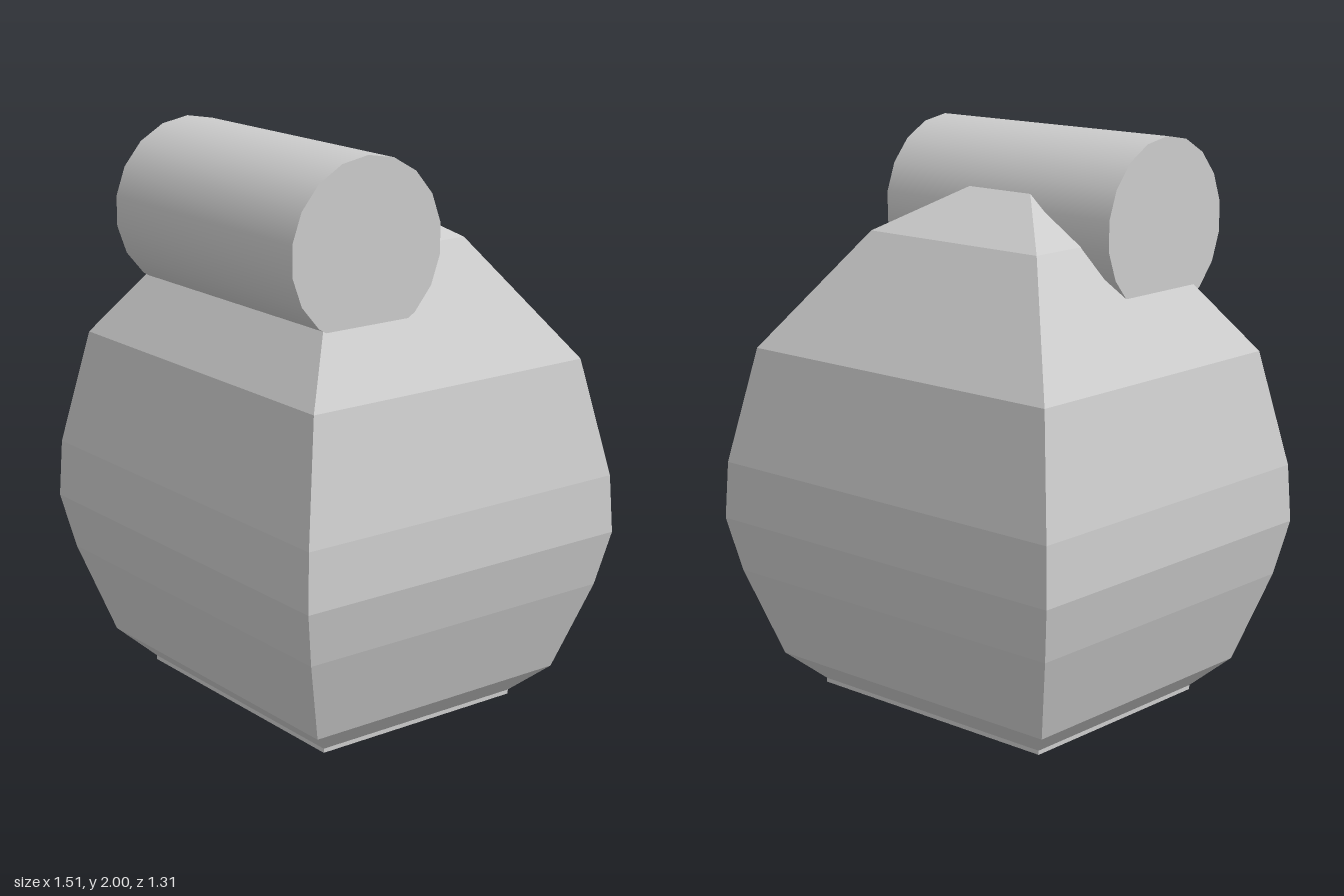
import * as THREE from 'three';

// Body cross-sections from bottom to top: height, half width; depth is 0.1 less per side
const SECTIONS = [
  [0, 0.51], [0.015, 0.51], [0.115, 0.615], [0.43, 0.715], [0.625, 0.755],
  [0.83, 0.745], [1.24, 0.665], [1.65, 0.38], [1.82, 0.11],
];

// Stack rectangular rings and close both ends
function rectangularLoft(sections, inset) {
  const positions = [];
  const indices = [];
  for (const [y, w] of sections) {
    const d = w - inset;
    positions.push(w, y, d, w, y, -d, -w, y, -d, -w, y, d);
  }
  for (let i = 0; i < sections.length - 1; i++) {
    for (let j = 0; j < 4; j++) {
      const a = i * 4 + j;
      const b = i * 4 + (j + 1) % 4;
      indices.push(a, b, b + 4, a, b + 4, a + 4);
    }
  }
  const t = (sections.length - 1) * 4;
  indices.push(0, 2, 1, 0, 3, 2, t, t + 1, t + 2, t, t + 2, t + 3);
  const indexed = new THREE.BufferGeometry();
  indexed.setAttribute('position', new THREE.Float32BufferAttribute(positions, 3));
  indexed.setIndex(indices);
  const geometry = indexed.toNonIndexed();
  geometry.computeVertexNormals();
  return geometry;
}

export function createModel() {
  const group = new THREE.Group();

  // Faceted four-sided body
  const body = new THREE.Mesh(
    rectangularLoft(SECTIONS, 0.1),
    new THREE.MeshStandardMaterial({ color: 0xcccccc, flatShading: true }),
  );
  body.name = 'body';
  group.add(body);

  // Smooth roller lying across the front of the top, sunk into the body
  const rollerGeometry = new THREE.CylinderGeometry(0.303, 0.303, 1.02, 18, 1, false, Math.PI / 2);
  rollerGeometry.rotateZ(Math.PI / 2);
  const roller = new THREE.Mesh(
    rollerGeometry,
    new THREE.MeshStandardMaterial({ color: 0xcccccc }),
  );
  roller.name = 'roller';
  roller.position.set(0.01, 1.697, 0.24);
  group.add(roller);

  return group;
}
